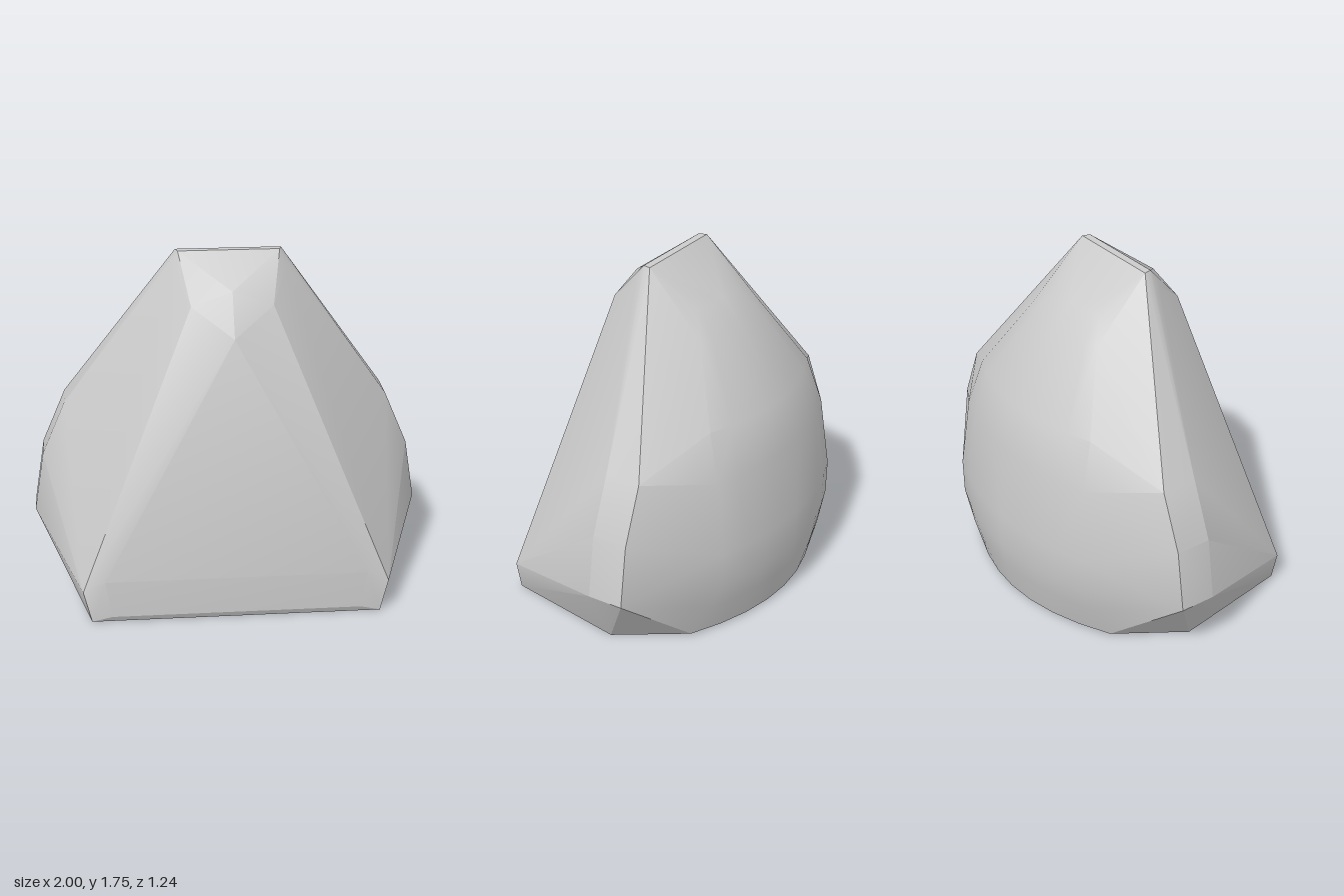
import * as THREE from 'three';
import { ConvexGeometry } from 'three/addons/geometries/ConvexGeometry.js';
import { toCreasedNormals } from 'three/addons/utils/BufferGeometryUtils.js';

export function createModel() {
  const group = new THREE.Group();
  const points = [];
  const add = (x, y, z) => {
    points.push(new THREE.Vector3(x, y, z));
    if (x > 0) points.push(new THREE.Vector3(-x, y, z));
  };

  // narrow top ridge
  add(0.25, 1.75, 0.12);
  add(0.26, 1.75, 0.08);
  add(0.28, 1.67, 0.15);

  // brow and the sloping front panel
  add(0, 1.6, 0.33);
  add(0.2, 1.53, 0.33);
  add(0, 1.4, 0.455);
  add(0.65, 0.22, 0.62);
  add(0.76, 0.16, 0.6);
  add(0.62, 0.03, 0.62);
  add(0.72, 0, 0.605);

  // flat strips on both flanks
  for (const [x, y] of [[0.83, 0.92], [0.95, 0.64], [1, 0.33]]) {
    add(x, y, -0.04);
    add(x, y, -0.225);
  }
  add(0.83, 0, -0.04);

  // rounded back: height, middle z, half width, z at the ends of the arc
  const rows = [
    [1.56, -0.18, 0.2, -0.15], [1.45, -0.27, 0.28, -0.22],
    [1.09, -0.51, 0.48, -0.4], [0.85, -0.57, 0.52, -0.47],
    [0.48, -0.62, 0.54, -0.515], [0.3, -0.62, 0.54, -0.51],
    [0.17, -0.6, 0.56, -0.47], [0.01, -0.565, 0.62, -0.38],
  ];
  for (const [y, zMid, w, zEnd] of rows) {
    for (let i = 0; i <= 4; i++) {
      const t = i / 4;
      add(w * t, y, zMid + (zEnd - zMid) * t * t);
    }
  }

  const geometry = toCreasedNormals(new ConvexGeometry(points), 0.42);
  const body = new THREE.Mesh(geometry, new THREE.MeshStandardMaterial({ color: 0xcccccc }));
  body.name = 'facetedBody';
  group.add(body);
  return group;
}
